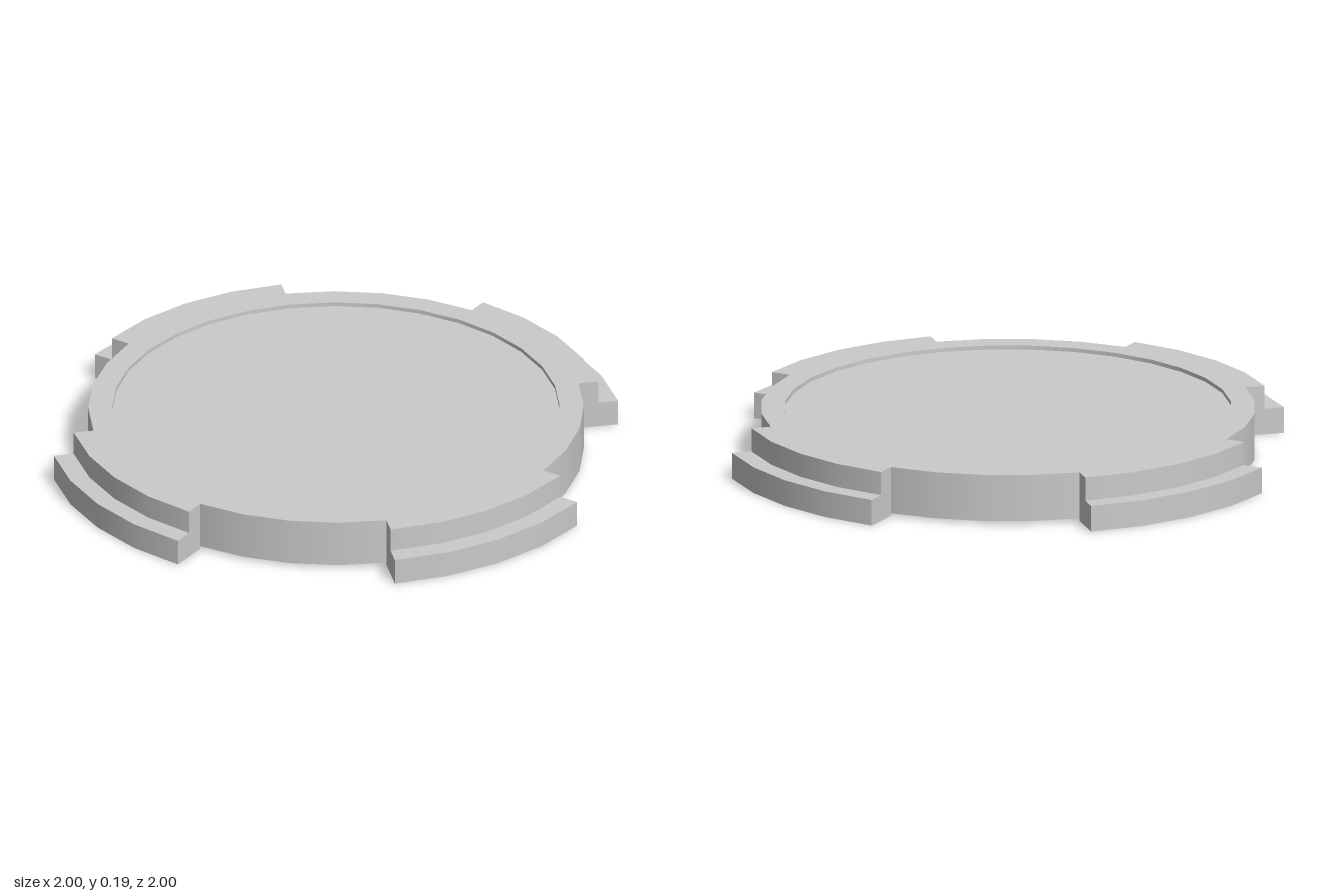
import * as THREE from 'three';
import { mergeGeometries } from 'three/addons/utils/BufferGeometryUtils.js';

const SKIRT_R = 0.93, STEP_R = 1.006, TAB_R = 1.082, PANEL_R = 0.84;
const TOP = 0.19, LEDGE = 0.1, PANEL_Y = 0.175, SKIRT_Y = 0.01;
const EIGHTH = Math.PI / 4;

// Sheet swept around the axis; each pair of profile points gets its own sharp-edged band
function sweep(profile, start, length, segments) {
  const bands = [];
  for (let i = 0; i < profile.length - 1; i++) {
    const pts = [profile[i], profile[i + 1]].map(([r, y]) => new THREE.Vector2(r, y));
    bands.push(new THREE.LatheGeometry(pts, segments, start, length));
  }
  return mergeGeometries(bands);
}

export function createModel() {
  const grey = new THREE.MeshStandardMaterial({ color: 0xcacaca, side: THREE.DoubleSide });
  grey.name = 'light grey';
  const model = new THREE.Group();
  model.name = 'lid';

  const add = (name, geometry, parent = model) => {
    const mesh = new THREE.Mesh(geometry, grey);
    mesh.name = name;
    parent.add(mesh);
    return mesh;
  };

  // Shallow recessed panel with its small step
  add('recessedPanel', sweep([[PANEL_R, PANEL_Y], [0, PANEL_Y]], 0, Math.PI * 2, 32));
  add('panelStep', sweep([[PANEL_R, TOP], [PANEL_R, PANEL_Y]], 0, Math.PI * 2, 32));

  // Hollow skirt section and stepped tab, one pair per quarter
  const skirt = sweep([[SKIRT_R, SKIRT_Y], [SKIRT_R, TOP], [PANEL_R, TOP]], -EIGHTH / 2, EIGHTH, 4);
  const tab = sweep(
    [[TAB_R, 0], [TAB_R, LEDGE], [STEP_R, LEDGE], [STEP_R, TOP], [PANEL_R, TOP]],
    EIGHTH / 2, EIGHTH, 4);

  // Flat stepped plate closing each end of a tab
  const endShape = new THREE.Shape([
    [SKIRT_R, 0], [TAB_R, 0], [TAB_R, LEDGE], [STEP_R, LEDGE], [STEP_R, TOP], [SKIRT_R, TOP],
  ].map(([x, y]) => new THREE.Vector2(x, y)));
  const tabEnd = new THREE.ShapeGeometry(endShape);

  for (let i = 0; i < 4; i++) {
    const quarter = new THREE.Group();
    quarter.name = 'rimQuarter';
    quarter.rotation.y = i * Math.PI / 2;
    add('skirt', skirt, quarter);
    add('steppedTab', tab, quarter);
    for (const angle of [-EIGHTH / 2, EIGHTH / 2]) add('tabEnd', tabEnd, quarter).rotation.y = angle;
    model.add(quarter);
  }
  return model;
}
